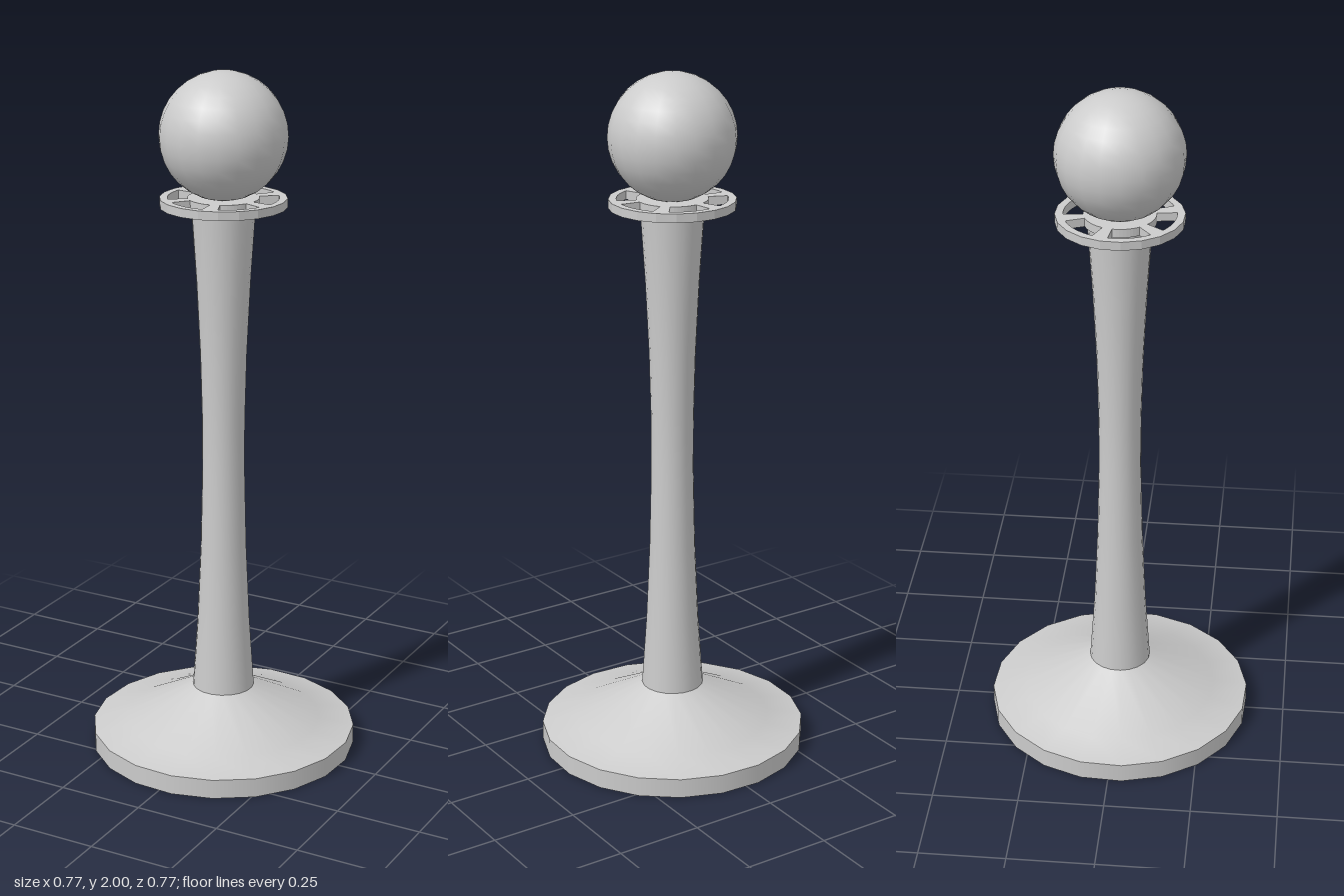
import * as THREE from 'three';

const SIDES = 20;
const TURN = THREE.MathUtils.degToRad(6); // all round parts share this turn

export function createModel() {
  const model = new THREE.Group();
  const solid = new THREE.MeshStandardMaterial({ color: 0xcccccc });
  const shell = new THREE.MeshStandardMaterial({ color: 0xcccccc, side: THREE.DoubleSide });

  const add = (name, geometry, material = solid) => {
    const mesh = new THREE.Mesh(geometry, material);
    mesh.name = name;
    model.add(mesh);
    return mesh;
  };
  const lathe = (points) => new THREE.LatheGeometry(
    points.map(([r, y]) => new THREE.Vector2(r, y)), SIDES, TURN);

  // Hollow foot: upright rim and sloping cover, open underneath
  add('footRim', lathe([[0.387, 0], [0.387, 0.057]]), shell);
  add('footCover', lathe([[0.387, 0.057], [0.285, 0.077], [0.09, 0.18]]), shell);

  // Waisted column, closed at the bottom
  add('column', lathe([
    [0.09, 0.18], [0.076, 0.39], [0.066, 0.62], [0.061, 0.85], [0.061, 1.0],
    [0.066, 1.2], [0.076, 1.41], [0.09, 1.625],
  ]));
  const cap = new THREE.CircleGeometry(0.09, SIDES, TURN).rotateX(Math.PI / 2);
  add('columnCap', cap).position.y = 0.18;

  // Spoked ring carrying the ball
  const ring = new THREE.Shape();
  for (let i = 0; i < SIDES; i++) {
    const a = TURN + (i / SIDES) * Math.PI * 2;
    const x = 0.178 * Math.cos(a), y = 0.178 * Math.sin(a);
    if (i === 0) ring.moveTo(x, y); else ring.lineTo(x, y);
  }
  ring.closePath();
  const half = THREE.MathUtils.degToRad(22);
  for (let i = 0; i < 6; i++) {
    const mid = -Math.PI / 4 + (i * Math.PI) / 3;
    const hole = new THREE.Path();
    hole.absarc(0, 0, 0.155, mid - half, mid + half, false);
    hole.absarc(0, 0, 0.1, mid + half, mid - half, true);
    hole.closePath();
    ring.holes.push(hole);
  }
  const ringGeometry = new THREE.ExtrudeGeometry(ring, {
    depth: 0.025, bevelEnabled: false, curveSegments: 4,
  }).rotateX(-Math.PI / 2);
  add('spokedRing', ringGeometry).position.y = 1.624;

  // Ball resting on the ring
  const ball = add('ball', new THREE.SphereGeometry(0.179, SIDES, 16));
  ball.position.y = 1.821;
  ball.rotation.y = TURN;

  return model;
}
